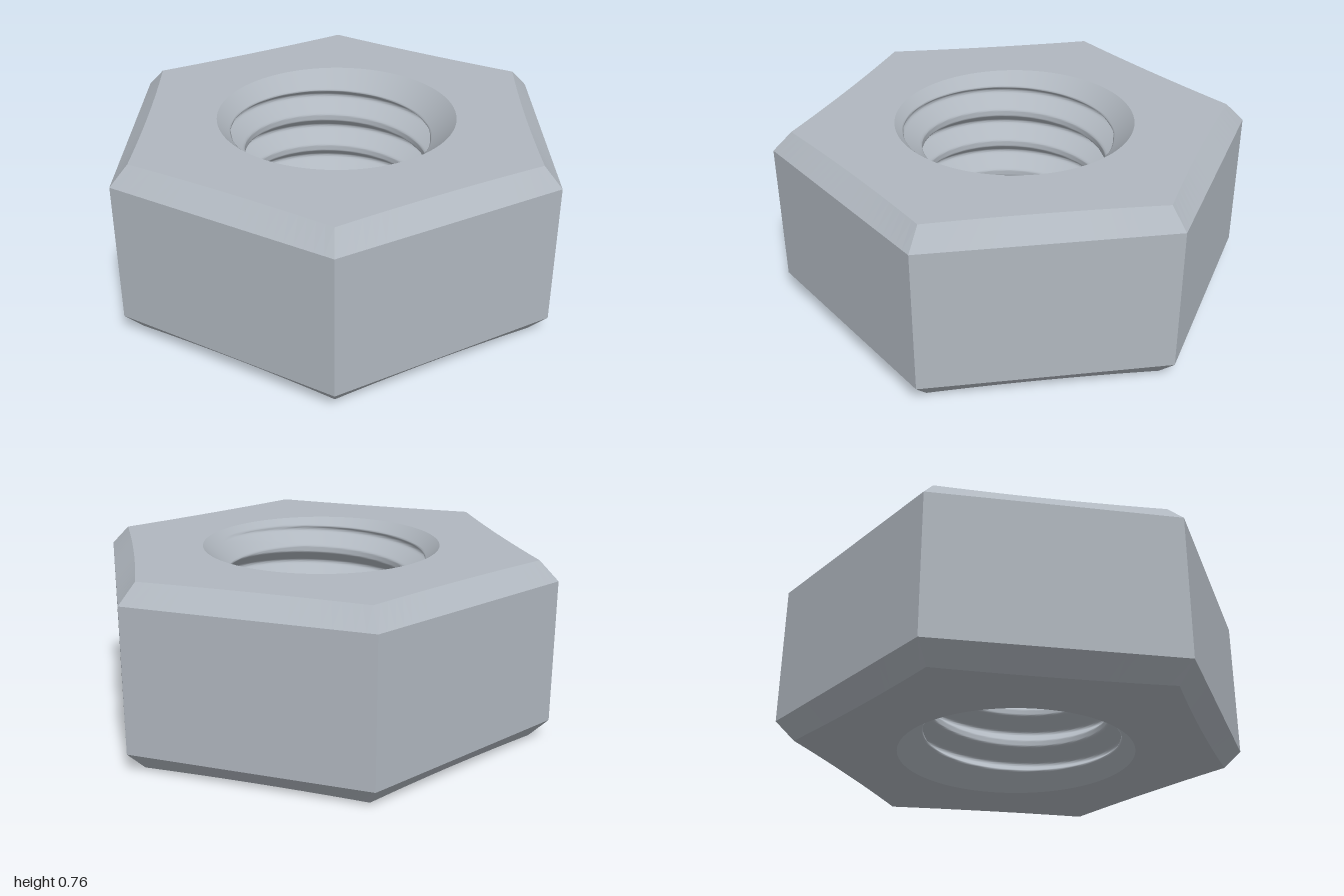
import * as THREE from 'three';

const HEIGHT = 0.76, CHAMFER = 0.08;
const HOLE = 0.5, CREST = 0.39, ROOT = 0.47, PITCH = 0.155, ROOT_Y = 0.7;
const PER_SIDE = 24, SEGMENTS = PER_SIDE * 6, ROWS = 152;

// Joins a list of closed rings (each an array of [x, y, z]) into a skin.
function loft(rings, smooth) {
  const n = SEGMENTS, index = [];
  for (let r = 0; r < rings.length - 1; r++) {
    for (let i = 0; i < n; i++) {
      const j = (i + 1) % n, a = r * n, b = a + n;
      index.push(a + i, a + j, b + j, a + i, b + j, b + i);
    }
  }
  let geometry = new THREE.BufferGeometry();
  geometry.setAttribute('position', new THREE.Float32BufferAttribute(rings.flat(2), 3));
  geometry.setIndex(index);
  if (!smooth) geometry = geometry.toNonIndexed();
  geometry.computeVertexNormals();
  return geometry;
}

// Ring around the y axis, starting at +x; radiusAt receives the angle from +z.
function roundRing(y, radiusAt) {
  return Array.from({ length: SEGMENTS }, (_, i) => {
    const a = Math.PI / 2 + (i / SEGMENTS) * Math.PI * 2;
    const r = radiusAt(a);
    return [r * Math.sin(a), y, r * Math.cos(a)];
  });
}

// Hexagon with corners on the x axis; bow pulls the middle of each side inwards.
function hexRing(y, radius, bow) {
  return Array.from({ length: SEGMENTS }, (_, i) => {
    const side = Math.floor(i / PER_SIDE), t = (i % PER_SIDE) / PER_SIDE;
    const a = Math.PI / 2 + side * Math.PI / 3, b = a + Math.PI / 3, mid = (a + b) / 2;
    const inset = bow * 4 * t * (1 - t);
    return [
      radius * THREE.MathUtils.lerp(Math.sin(a), Math.sin(b), t) - inset * Math.sin(mid),
      y,
      radius * THREE.MathUtils.lerp(Math.cos(a), Math.cos(b), t) - inset * Math.cos(mid),
    ];
  });
}

// Right-handed thread, cut back by a countersink at both ends.
function boreRadius(y, a) {
  const turns = (y - ROOT_Y) / PITCH - a / (Math.PI * 2);
  const d = Math.abs(turns - Math.round(turns)) * 2; // 0 at the root, 1 at the crest
  const thread = THREE.MathUtils.lerp(ROOT, CREST, THREE.MathUtils.clamp((d - 0.1) / 0.7, 0, 1));
  const countersink = HOLE - Math.min(y, HEIGHT - y);
  return Math.max(thread, countersink);
}

export function createModel() {
  const steel = new THREE.MeshStandardMaterial({ color: 0xb0b7bf });
  steel.name = 'steel grey';
  const group = new THREE.Group();
  group.name = 'hexNut';

  // Body: underside, chamfer, six flats, chamfer, top face
  const rim = 1 - CHAMFER, bow = 0.01;
  const body = new THREE.Mesh(loft([
    roundRing(0, () => HOLE),
    hexRing(0, rim, bow),
    hexRing(CHAMFER, 1, 0),
    hexRing(HEIGHT - CHAMFER, 1, 0),
    hexRing(HEIGHT, rim, bow),
    roundRing(HEIGHT, () => HOLE),
  ], false), steel);
  body.name = 'hexBody';

  // Threaded bore, from the top down
  const rows = Array.from({ length: ROWS + 1 }, (_, k) => {
    const y = HEIGHT * (1 - k / ROWS);
    return roundRing(y, (a) => boreRadius(y, a));
  });
  const bore = new THREE.Mesh(loft(rows, true), steel);
  bore.name = 'threadedBore';

  group.add(body, bore);
  return group;
}
